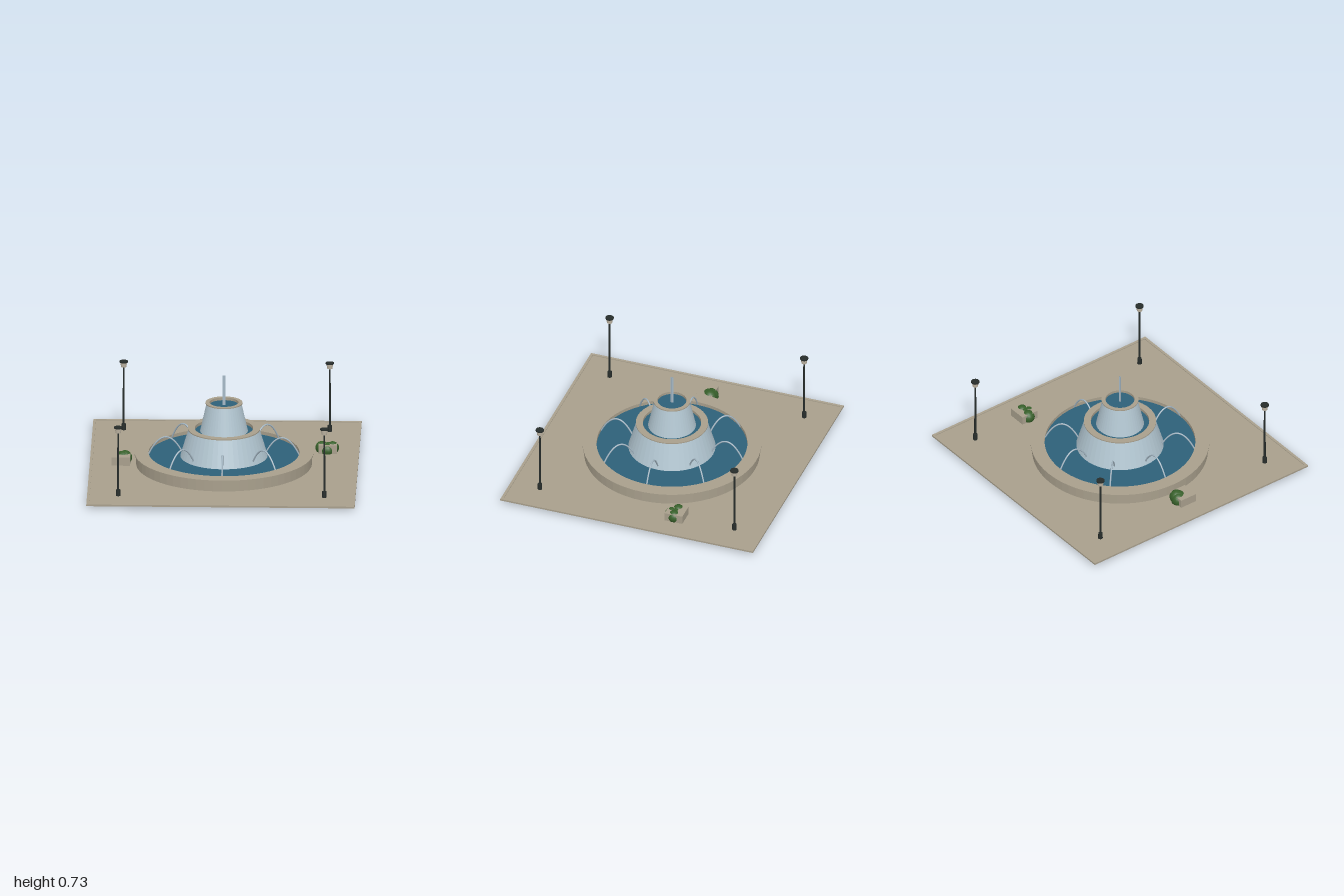
import * as THREE from 'three';

const mat = (name, color, side = THREE.FrontSide) => {
  const m = new THREE.MeshStandardMaterial({ color, side });
  m.name = name;
  return m;
};

export function createModel() {
  const stone = mat('stone', 0xa89f8c);
  const paleBlue = mat('pale blue stone', 0xb2c6d1);
  const water = mat('water', 0x2d6079);
  const jetWater = mat('jet water', 0xa6b9c6, THREE.DoubleSide);
  const iron = mat('dark iron', 0x262c2a);
  const glass = mat('lamp glass', 0xc4baa8);
  const leaf = mat('foliage', 0x37602a);

  const model = new THREE.Group();
  model.name = 'fountainPlaza';

  const add = (parent, name, geometry, material, x = 0, y = 0, z = 0) => {
    const mesh = new THREE.Mesh(geometry, material);
    mesh.name = name;
    mesh.position.set(x, y, z);
    parent.add(mesh);
    return mesh;
  };
  // Faceted solid of revolution, profile listed as [radius, height]
  const turned = (points, segments) => {
    const g = new THREE.LatheGeometry(points.map(p => new THREE.Vector2(...p)), segments).toNonIndexed();
    g.computeVertexNormals();
    return g;
  };
  const pool = (name, radius, y) =>
    add(model, name, new THREE.CircleGeometry(radius, 64).rotateX(-Math.PI / 2), water, 0, y, 0);

  // Paved slab with a low raised border
  add(model, 'slab', new THREE.BoxGeometry(2, 0.008, 2), stone, 0, 0.031, 0);
  for (const s of [-1, 1]) {
    add(model, 'slabBorder', new THREE.BoxGeometry(2, 0.006, 0.02), stone, 0, 0.037, s * 0.99);
    add(model, 'slabBorder', new THREE.BoxGeometry(0.02, 0.006, 1.96), stone, s * 0.99, 0.037, 0);
  }

  // Main basin: wall, overhanging coping, inner wall
  add(model, 'basin', turned([
    [0.655, 0.033], [0.655, 0.115], [0.667, 0.115], [0.667, 0.124], [0.562, 0.124], [0.562, 0.09],
  ], 64), stone);
  pool('basinWater', 0.564, 0.098);

  // Tapered tiers, each with a stone coping around a small pool
  const tiers = [
    { name: 'lowerTier', r0: 0.328, y0: 0.09, r1: 0.264, y1: 0.306, lip: 0.27, inner: 0.218, level: 0.292 },
    { name: 'upperTier', r0: 0.18, y0: 0.285, r1: 0.13, y1: 0.508, lip: 0.138, inner: 0.108, level: 0.496 },
  ];
  for (const t of tiers) {
    add(model, t.name + 'Body', turned([[t.r0, t.y0], [t.r1, t.y1]], 48), paleBlue);
    add(model, t.name + 'Coping', turned([
      [t.r1 - 0.01, t.y1], [t.lip, t.y1], [t.lip, t.y1 + 0.008],
      [t.inner, t.y1 + 0.008], [t.inner, t.level - 0.005],
    ], 48), stone);
    pool(t.name + 'Water', t.inner + 0.001, t.level);
  }

  // Central spout: two crossed sheets
  for (const a of [0, Math.PI / 2]) {
    add(model, 'centralJet', new THREE.PlaneGeometry(0.022, 0.23), jetWater, 0, 0.61, 0).rotation.y = a;
  }

  // Eight arching jets from the lower tier into the basin
  const arc = [];
  for (let i = 0; i <= 12; i++) {
    const u = i / 6 - 1;
    arc.push(new THREE.Vector3(0.432 + 0.13 * u, 0.24 - 0.135 * u * u, 0));
  }
  const arcGeometry = new THREE.TubeGeometry(new THREE.CatmullRomCurve3(arc), 24, 0.006, 6);
  for (let i = 0; i < 8; i++) {
    add(model, 'archingJet', arcGeometry, jetWater).rotation.y = i * Math.PI / 4;
  }

  // Corner lamps
  for (const x of [-0.768, 0.768]) for (const z of [-0.77, 0.77]) {
    const lamp = new THREE.Group();
    lamp.name = 'lamp';
    lamp.position.set(x, 0, z);
    add(lamp, 'lampBase', new THREE.CylinderGeometry(0.016, 0.018, 0.056, 12), iron, 0, 0.054, 0);
    add(lamp, 'lampPost', new THREE.CylinderGeometry(0.007, 0.008, 0.46, 10), iron, 0, 0.305, 0);
    add(lamp, 'lampGlass', new THREE.CylinderGeometry(0.026, 0.02, 0.036, 14), glass, 0, 0.547, 0);
    add(lamp, 'lampCap', new THREE.CylinderGeometry(0.031, 0.031, 0.01, 16), iron, 0, 0.57, 0);
    model.add(lamp);
  }

  // Planter boxes with clustered shrubs, each ball given as [x, y, z, radius]
  const planters = [
    { x: -0.768, z: 0.004, balls: [[-0.765, 0.056, -0.036, 0.056], [-0.738, 0.066, -0.034, 0.053], [-0.752, 0.062, -0.025, 0.055]] },
    { x: 0.766, z: -0.312, balls: [[0.722, 0.062, -0.31, 0.05], [0.802, 0.064, -0.305, 0.048], [0.762, 0.055, -0.272, 0.05], [0.765, 0.06, -0.305, 0.045]] },
  ];
  for (const p of planters) {
    add(model, 'planterBox', new THREE.BoxGeometry(0.14, 0.066, 0.14), stone, p.x, 0.067, p.z);
    for (const [x, y, z, r] of p.balls) {
      add(model, 'shrub', new THREE.SphereGeometry(r, 14, 10), leaf, x, y, z);
    }
  }
  return model;
}
